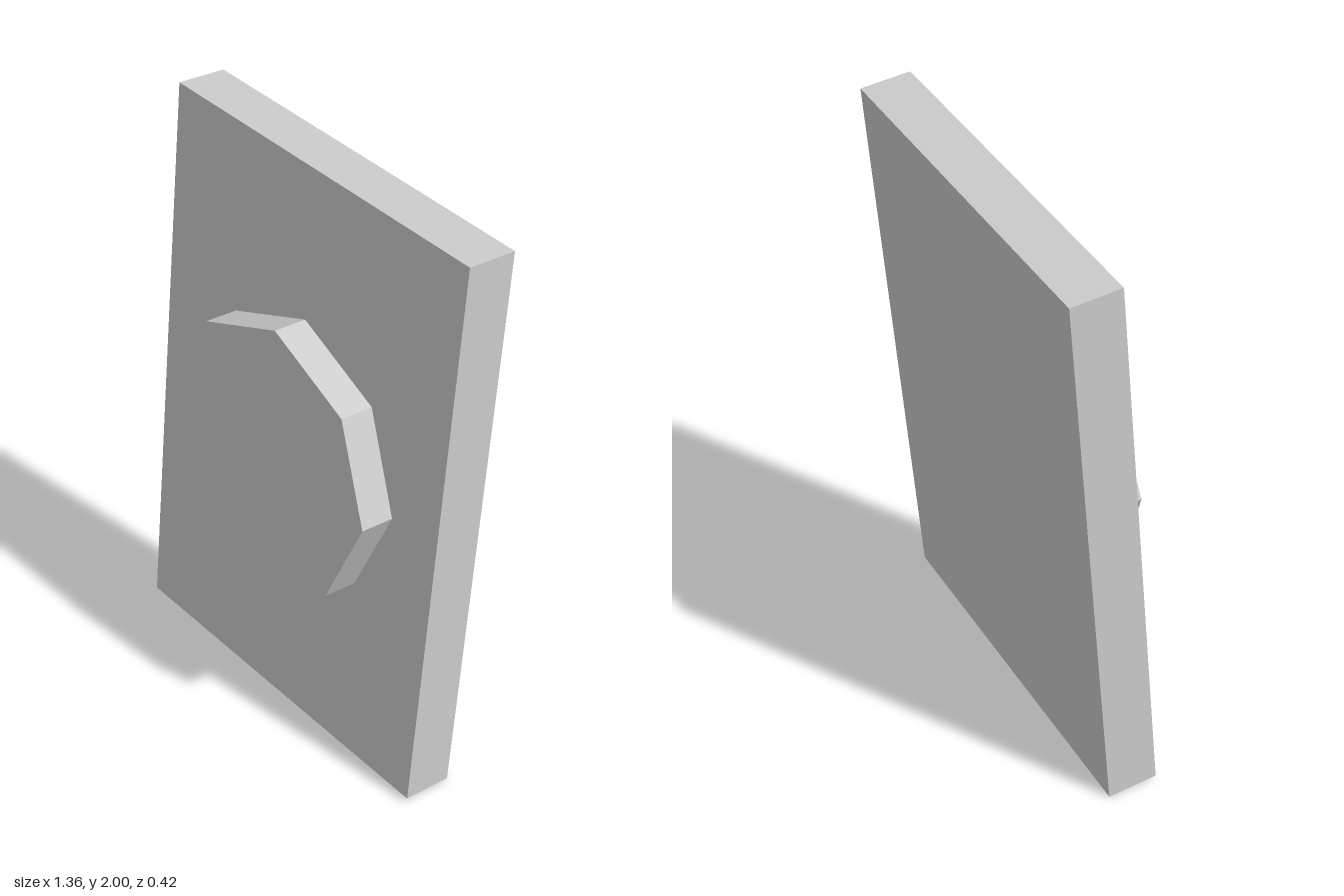
import * as THREE from 'three';

export function createModel() {
  const material = new THREE.MeshStandardMaterial({ color: 0xcccccc, flatShading: true });
  const height = 1.992, width = 1.36, depth = 0.174, knobDepth = 0.12;

  const group = new THREE.Group();
  group.name = 'leaningPanel';

  // Flat panel
  const panel = new THREE.Mesh(new THREE.BoxGeometry(width, height, depth), material);
  panel.name = 'panel';

  // Octagonal knob on the panel's front face, one corner pointing up
  const knob = new THREE.Mesh(
    new THREE.CylinderGeometry(0.474, 0.474, knobDepth, 8).rotateX(Math.PI / 2),
    material
  );
  knob.name = 'octagonalKnob';
  knob.position.z = (depth + knobDepth) / 2;

  // Both parts lean back by five degrees
  const leaning = new THREE.Group();
  leaning.name = 'leaningParts';
  leaning.add(panel, knob);
  leaning.rotation.x = -THREE.MathUtils.degToRad(5);
  leaning.position.set(0, 1, -0.037);
  group.add(leaning);
  return group;
}
